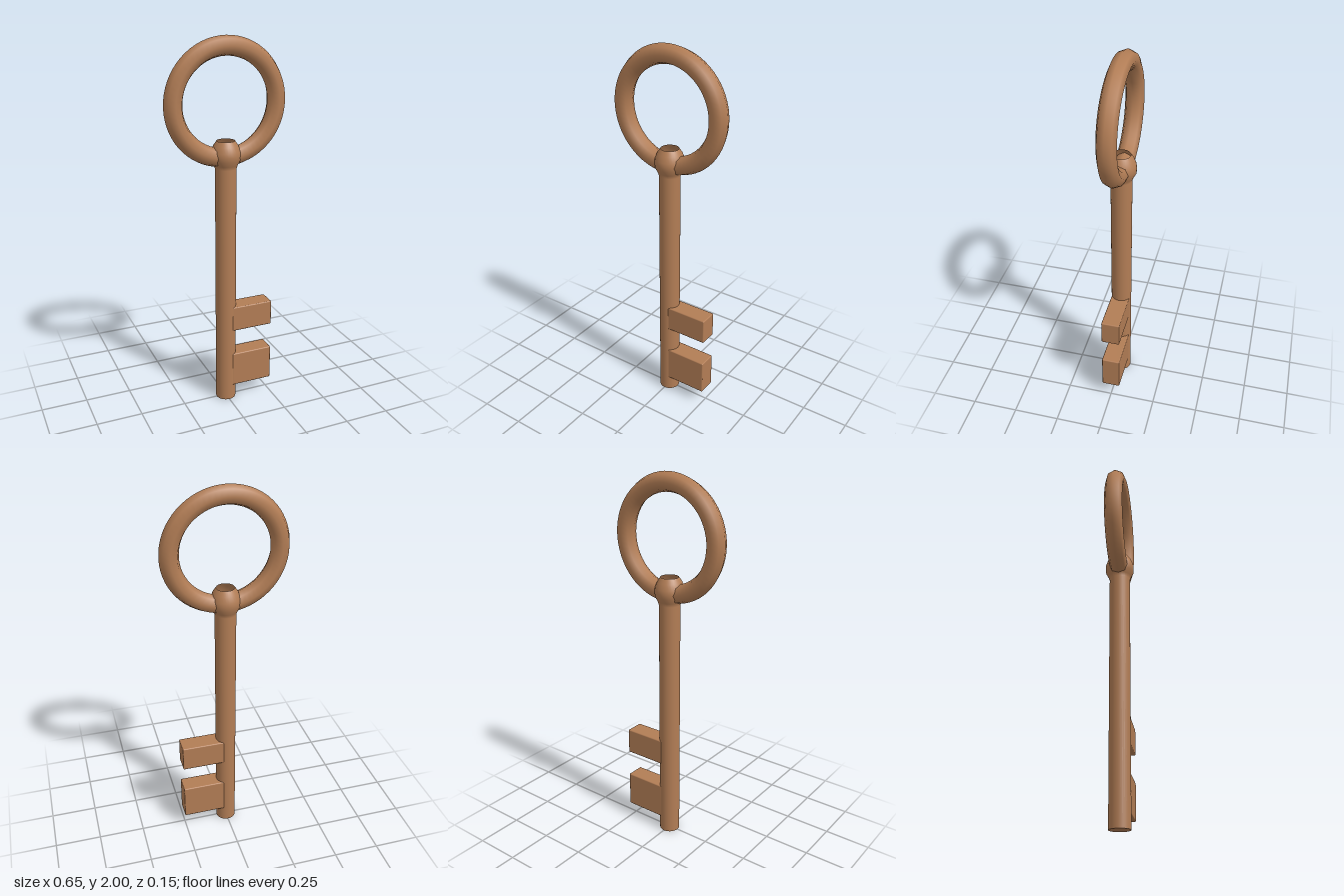
import * as THREE from 'three';
import { RoundedBoxGeometry } from 'three/addons/geometries/RoundedBoxGeometry.js';

export function createModel() {
  const key = new THREE.Group();
  key.name = 'key';

  const bronze = new THREE.MeshStandardMaterial({ color: 0xb27d55, side: THREE.DoubleSide });
  bronze.name = 'bronze';

  function add(name, geometry, x, y) {
    const mesh = new THREE.Mesh(geometry, bronze);
    mesh.name = name;
    mesh.position.set(x, y, 0);
    key.add(mesh);
    return mesh;
  }

  // Ring handle with an eight-sided smooth section, points on the axes
  add('ringHandle', new THREE.TorusGeometry(0.277, 0.049, 8, 64), 0, 1.675);

  // Round shaft swelling into an open-topped collar that grips the ring
  const profile = [
    [0.055, 0], [0.055, 1.34], [0.062, 1.36], [0.075, 1.385],
    [0.077, 1.41], [0.075, 1.43], [0.064, 1.46], [0.047, 1.485],
  ].map(([r, y]) => new THREE.Vector2(r, y));
  add('shaft', new THREE.LatheGeometry(profile, 32), 0, 0);

  // Flat end of the shaft
  add('shaftEnd', new THREE.CircleGeometry(0.055, 32), 0, 0).rotation.x = Math.PI / 2;

  // Two teeth with slightly softened edges: [name, bottom, top]
  const left = 0.02, right = 0.255;
  for (const [name, bottom, top] of [['lowerTooth', 0.083, 0.28], ['upperTooth', 0.425, 0.566]]) {
    const tooth = new RoundedBoxGeometry(right - left, top - bottom, 0.1, 2, 0.006);
    add(name, tooth, (left + right) / 2, (bottom + top) / 2);
  }

  return key;
}
